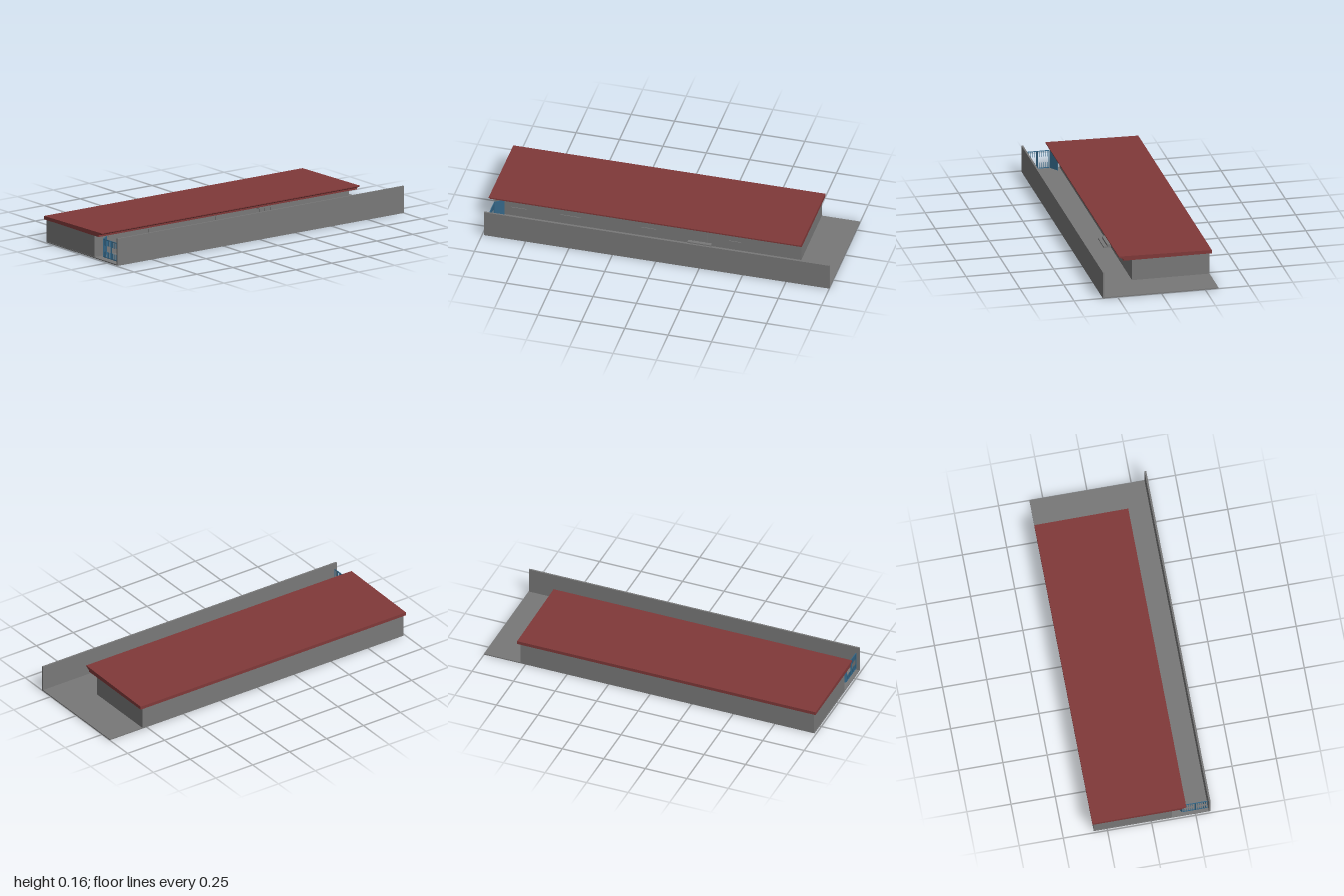
import * as THREE from 'three';

export function createModel() {
  const model = new THREE.Group();
  const grey = new THREE.MeshStandardMaterial({ color: 0x787878 });
  grey.name = 'concrete grey';
  const red = new THREE.MeshStandardMaterial({ color: 0x803939 });
  red.name = 'roof red';
  const blue = new THREE.MeshStandardMaterial({ color: 0x346788 });
  blue.name = 'gate blue';

  // Box given by its minimum and maximum on each axis
  function box(name, mat, [x0, x1], [y0, y1], [z0, z1], parent = model) {
    const mesh = new THREE.Mesh(new THREE.BoxGeometry(x1 - x0, y1 - y0, z1 - z0), mat);
    mesh.position.set((x0 + x1) / 2, (y0 + y1) / 2, (z0 + z1) / 2);
    mesh.name = name;
    parent.add(mesh);
    return mesh;
  }

  // Profile of (z, y) points drawn out along x
  function extrudeX(name, mat, points, x0, x1) {
    const shape = new THREE.Shape(points.map(([z, y]) => new THREE.Vector2(-z, y)));
    const geo = new THREE.ExtrudeGeometry(shape, { depth: x1 - x0, bevelEnabled: false });
    geo.rotateY(Math.PI / 2);
    const mesh = new THREE.Mesh(geo, mat);
    mesh.position.x = x0;
    mesh.name = name;
    model.add(mesh);
  }

  // Site: paving slab and tall front wall
  box('groundSlab', grey, [-0.99, 1], [0, 0.006], [-0.326, 0.335]);
  box('frontWall', grey, [-0.99, 1], [0, 0.155], [0.325, 0.335]);

  // Building with a gently sloping roof and a chamfered front eave
  box('buildingBody', grey, [-0.988, 0.78], [0.004, 0.134], [-0.326, 0.117]);
  extrudeX('roof', red, [
    [0.196, 0.16], [-0.335, 0.152], [-0.335, 0.133],
    [0.17, 0.133], [0.17, 0.143], [0.196, 0.155],
  ], -1, 0.797);

  // Window frames and sills along the facade
  for (const [x, w] of [[-0.845, 0.09], [-0.55, 0.12], [-0.1, 0.09], [0.4, 0.07]]) {
    const win = new THREE.Group();
    win.name = 'window';
    model.add(win);
    const l = x - w / 2, r = x + w / 2;
    box('windowSill', grey, [l, r], [0.059, 0.063], [0.117, 0.121], win);
    box('windowHead', grey, [l, r], [0.11, 0.113], [0.117, 0.119], win);
    for (const e of [l, x, r]) {
      box('windowMullion', grey, [e - 0.0015, e + 0.0015], [0.063, 0.11], [0.117, 0.119], win);
    }
  }

  // Entrance: frame, canopy and steps
  for (const x of [0.157, 0.197, 0.237]) {
    box('doorFrame', grey, [x - 0.002, x + 0.002], [0.025, 0.11], [0.117, 0.121]);
  }
  box('doorHead', grey, [0.155, 0.239], [0.107, 0.111], [0.117, 0.121]);
  box('canopy', grey, [0.12, 0.275], [0.122, 0.13], [0.117, 0.162]);
  box('upperStep', grey, [0.13, 0.265], [0.005, 0.025], [0.117, 0.138]);
  box('lowerStep', grey, [0.13, 0.265], [0.005, 0.013], [0.138, 0.158]);

  // Double gate between the front wall and the building
  const gate = new THREE.Group();
  gate.name = 'sideGate';
  model.add(gate);
  const gx = [-0.974, -0.97];
  for (const [z0, z1] of [[0.251, 0.321], [0.181, 0.249]]) {
    box('gateTopRail', blue, gx, [0.118, 0.122], [z0, z1], gate);
    box('gateBottomRail', blue, gx, [0.017, 0.021], [z0, z1], gate);
    for (const z of [z0 + 0.0015, z1 - 0.0015]) {
      box('gateStile', blue, gx, [0.017, 0.122], [z - 0.0015, z + 0.0015], gate);
    }
    for (let i = 1; i <= 5; i++) {
      const z = z0 + (z1 - z0) * i / 6;
      box('upperBar', blue, gx, [0.086, 0.12], [z - 0.0015, z + 0.0015], gate);
      box('lowerBar', blue, gx, [0.019, 0.052], [z - 0.0015, z + 0.0015], gate);
    }
  }

  // Solid wicket leaf standing open into the yard
  const wicket = new THREE.Group();
  wicket.name = 'openWicket';
  wicket.position.set(-0.972, 0, 0.178);
  wicket.rotation.y = Math.atan2(0.035, 0.05);
  gate.add(wicket);
  box('wicketLeaf', blue, [0, 0.061], [0.017, 0.122], [-0.002, 0.002], wicket);

  return model;
}
